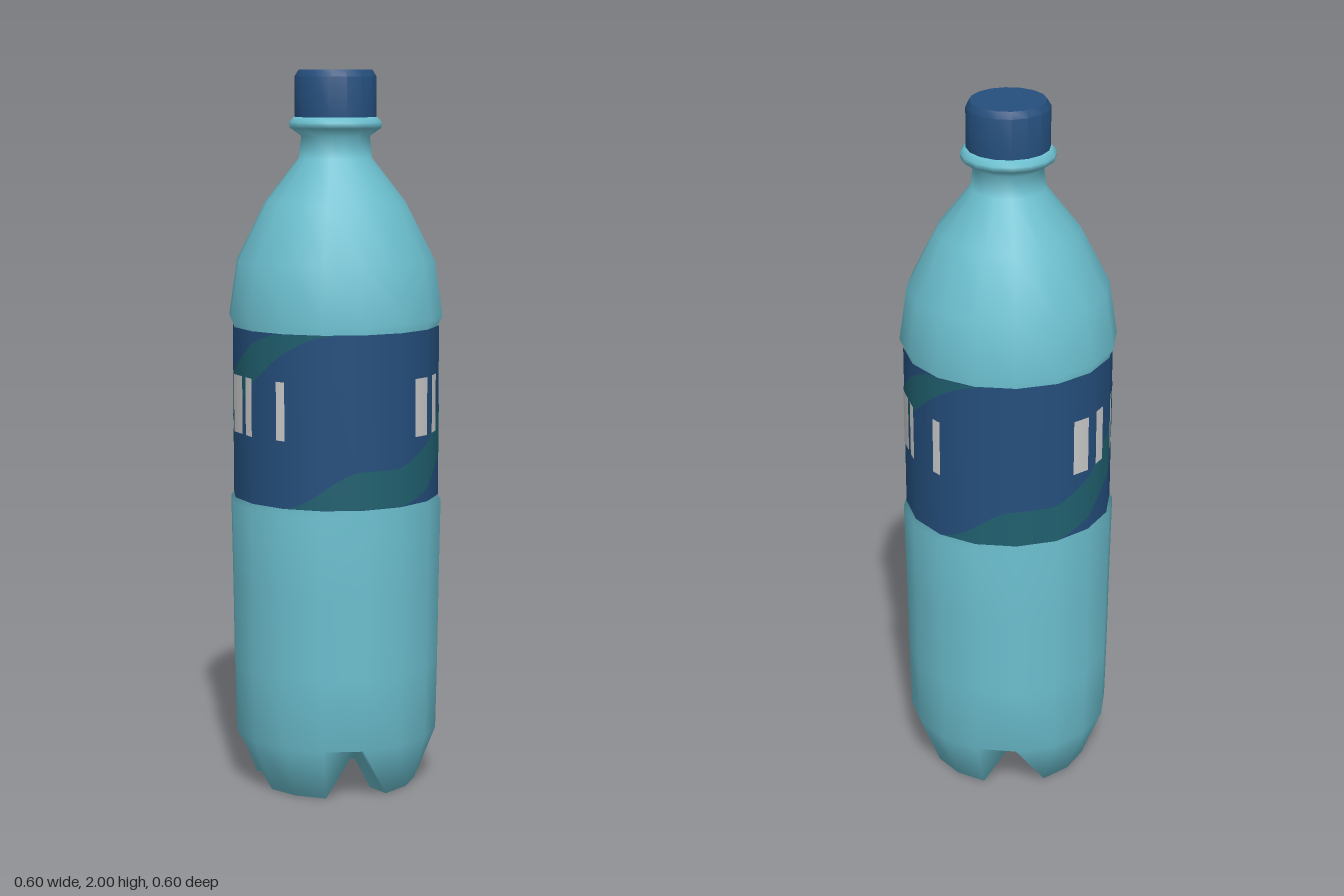
import * as THREE from 'three';
import { mergeVertices, toCreasedNormals } from 'three/addons/utils/BufferGeometryUtils.js';

const SIDES = 16;
const STEP = (Math.PI * 2) / SIDES;
const LABEL_R = 0.289;
const rad = THREE.MathUtils.degToRad;
const { lerp, smoothstep } = THREE.MathUtils;

const plastic = new THREE.MeshStandardMaterial({ color: 0x6cbfcf });
const navy = new THREE.MeshStandardMaterial({ color: 0x254f7d });
const teal = new THREE.MeshStandardMaterial({ color: 0x20606f });
const pale = new THREE.MeshStandardMaterial({ color: 0xcccccc });

function lathe(points) {
  return new THREE.LatheGeometry(points.map(([r, y]) => new THREE.Vector2(r, y)), SIDES);
}

function addMesh(parent, name, geometry, material) {
  const mesh = new THREE.Mesh(geometry, material);
  mesh.name = name;
  parent.add(mesh);
  return mesh;
}

// Bottle wall with four feet, split by notches on the x and z axes
function bottleGeometry() {
  const profile = [
    [0, 0.15], [0.157, 0], [0.227, 0], [0.286, 0.15], [0.29, 0.35], [0.293, 0.58],
    [0.297, 0.81], [0.284, 0.826], [0.284, 1.298], [0.299, 1.325], [0.276, 1.48],
    [0.195, 1.64], [0.102, 1.76], [0.095, 1.82], [0.127, 1.842], [0.129, 1.857],
    [0.115, 1.872], [0.09, 1.872], [0, 1.872],
  ];
  const g = lathe(profile);
  const pos = g.attributes.position;
  for (let i = 0; i <= SIDES; i += 4) {
    pos.setY(i * profile.length + 1, 0.14);
    pos.setY(i * profile.length + 2, 0.147);
  }
  g.deleteAttribute('uv');
  g.deleteAttribute('normal');
  const merged = mergeVertices(g, 1e-4);
  merged.computeVertexNormals();
  return merged;
}

// Patch lying on the faceted label; angles run from +z towards +x
function labelPatch(from, to, columns, bottom, top, lift) {
  const positions = [], normals = [], index = [];
  for (let i = 0; i <= columns; i++) {
    const a = lerp(from, to, i / columns);
    const local = THREE.MathUtils.euclideanModulo(a, STEP) - STEP / 2;
    const r = (LABEL_R + lift) * Math.cos(STEP / 2) / Math.cos(local);
    for (const y of [bottom(a), top(a)]) {
      positions.push(r * Math.sin(a), y, r * Math.cos(a));
      normals.push(Math.sin(a), 0, Math.cos(a));
    }
    if (i < columns) {
      const k = i * 2;
      index.push(k, k + 2, k + 1, k + 1, k + 2, k + 3);
    }
  }
  const g = new THREE.BufferGeometry();
  g.setAttribute('position', new THREE.Float32BufferAttribute(positions, 3));
  g.setAttribute('normal', new THREE.Float32BufferAttribute(normals, 3));
  g.setIndex(index);
  return g;
}

export function createModel() {
  const model = new THREE.Group();
  model.name = 'bottle';

  addMesh(model, 'bottleBody', bottleGeometry(), plastic);

  // Screw cap with a small bevel
  const cap = lathe([[0.1, 1.868], [0.113, 1.868], [0.113, 1.982], [0.102, 2], [0, 2]]);
  addMesh(model, 'cap', toCreasedNormals(cap, 0.6), navy);

  // Wrapped label
  const label = new THREE.Group();
  label.name = 'label';
  model.add(label);
  addMesh(label, 'labelWrap', lathe([[LABEL_R, 0.824], [LABEL_R, 1.3]]), navy);

  // Swoosh and bars appear on both halves of the label
  const swoosh = labelPatch(rad(-45), rad(165), 84,
    (a) => lerp(0.825, 1.299, smoothstep(a, rad(20), rad(165))),
    (a) => lerp(0.825, 1.299, 0.22 * smoothstep(a, rad(-45), rad(0)) + 0.78 * smoothstep(a, rad(15), rad(135))),
    0.001);
  const bars = [[0.238, 0.206], [0.175, 0.143], [0.08, 0.042], [0, -0.053], [-0.074, -0.11], [-0.185, -0.206]];
  for (const turn of [0, Math.PI]) {
    const half = new THREE.Group();
    half.name = turn ? 'labelPrintRight' : 'labelPrintLeft';
    half.rotation.y = turn;
    label.add(half);
    addMesh(half, 'swoosh', swoosh, teal);
    for (const [z0, z1] of bars) {
      const bar = labelPatch(Math.acos(z0 / 0.287), Math.acos(z1 / 0.287), 6, () => 1.01, () => 1.17, 0.002);
      addMesh(half, 'bar', bar, pale);
    }
  }
  return model;
}
